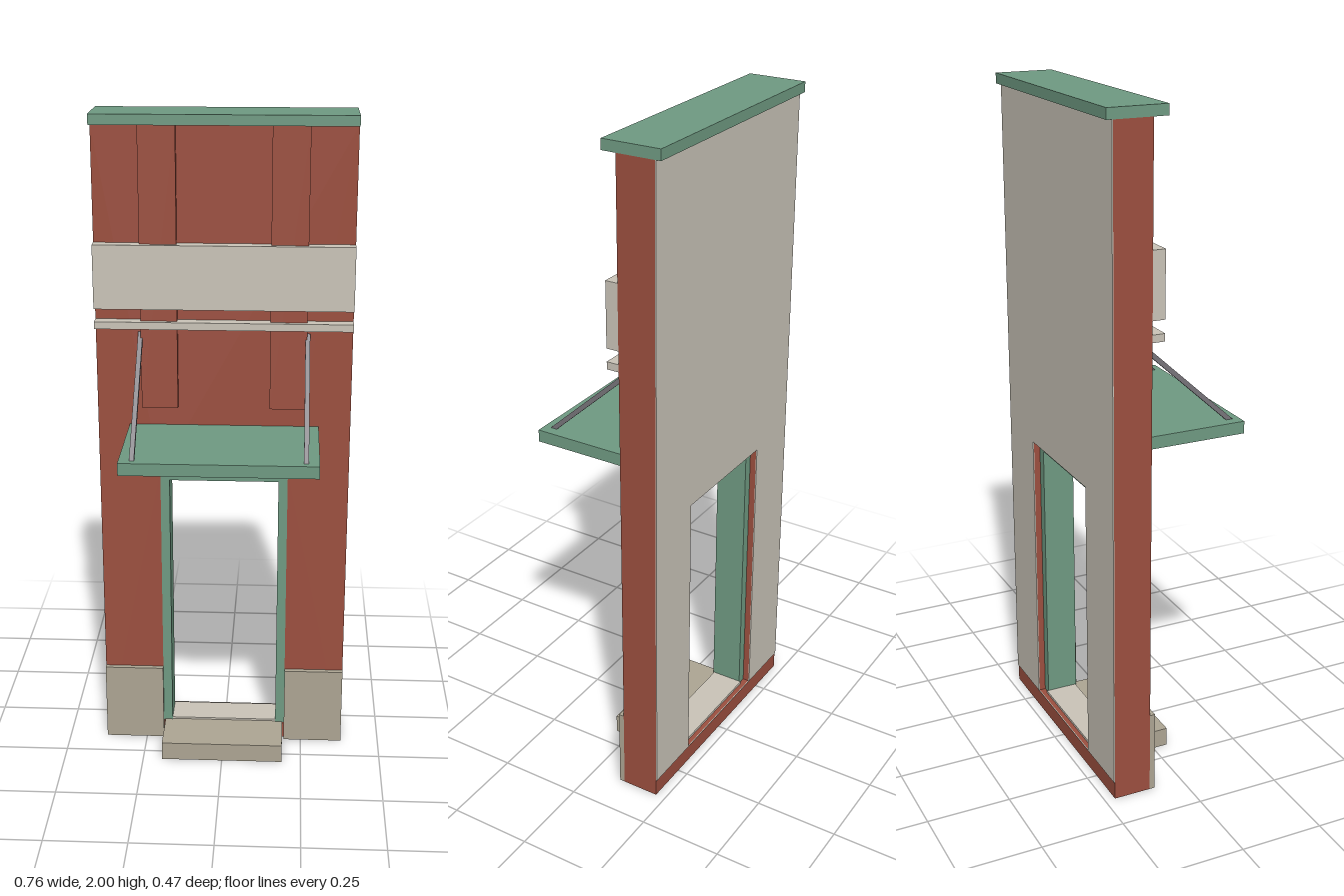
import * as THREE from 'three';

const material = (name, color) => {
  const m = new THREE.MeshStandardMaterial({ color });
  m.name = name;
  return m;
};

export function createModel() {
  const brick = material('red brick', 0x9c4f3f);
  const green = material('green paint', 0x6f9a82);
  const cream = material('cream plaster', 0xcac4b8);
  const stone = material('tan stone', 0xada593);
  const steel = material('grey steel', 0x77747a);

  const model = new THREE.Group();
  model.name = 'shopfrontWall';

  const add = (name, geometry, mat) => {
    const mesh = new THREE.Mesh(geometry, mat);
    mesh.name = name;
    model.add(mesh);
    return mesh;
  };

  // Box given by its lower and upper limits on each axis
  const block = (name, mat, [x0, x1], [y0, y1], [z0, z1]) => {
    const mesh = add(name, new THREE.BoxGeometry(x1 - x0, y1 - y0, z1 - z0), mat);
    mesh.position.set((x0 + x1) / 2, (y0 + y1) / 2, (z0 + z1) / 2);
    return mesh;
  };

  const rectangle = (shape, w, y0, y1) =>
    shape.moveTo(-w, y0).lineTo(w, y0).lineTo(w, y1).lineTo(-w, y1).closePath();

  // Upright slab with a rectangular opening
  const slab = (name, mat, outer, opening, z0, z1) => {
    const shape = rectangle(new THREE.Shape(), ...outer);
    shape.holes.push(rectangle(new THREE.Path(), ...opening));
    const geometry = new THREE.ExtrudeGeometry(shape, { depth: z1 - z0, bevelEnabled: false });
    add(name, geometry, mat).position.z = z0;
  };

  const doorway = [0.195, 0.056, 0.92];

  // Wall with its plastered inner face
  slab('brickWall', brick, [0.38, 0, 1.97], doorway, -0.219, -0.106);
  slab('innerPlaster', cream, [0.38, 0.055, 1.97], doorway, -0.222, -0.219);

  // Door frame, threshold and step
  slab('doorFrame', green, [0.195, 0.056, 0.92], [0.167, 0.0565, 0.895], -0.2, -0.103);
  block('threshold', cream, [-0.167, 0.167], [0.05, 0.064], [-0.205, -0.106]);
  block('doorStep', stone, [-0.19, 0.19], [0, 0.058], [-0.106, 0.047]);

  // Horizontal trim
  block('coping', green, [-0.38, 0.38], [1.97, 2], [-0.237, -0.063]);
  block('signBand', cream, [-0.38, 0.38], [1.44, 1.63], [-0.106, -0.069]);
  block('stringCourse', cream, [-0.38, 0.38], [1.38, 1.402], [-0.106, -0.069]);

  // Canopy
  block('canopy', green, [-0.285, 0.285], [1.038, 1.075], [-0.106, 0.236]);

  // Mirrored parts: plinths, pilasters and canopy stays
  const low = new THREE.Vector3(0, 1.07, 0.21);
  const high = new THREE.Vector3(0, 1.36, -0.106);
  for (const side of [-1, 1]) {
    const span = (a, b) => (side > 0 ? [a, b] : [-b, -a]);
    const label = side > 0 ? 'left' : 'right';
    block(label + 'Plinth', stone, span(0.195, 0.38), [0, 0.25], [-0.106, -0.09]);
    block(label + 'Pilaster', brick, span(0.137, 0.245), [1.135, 1.97], [-0.106, -0.085]);

    const stay = add(label + 'CanopyStay',
      new THREE.BoxGeometry(0.014, 0.014, low.distanceTo(high)), steel);
    stay.position.addVectors(low, high).multiplyScalar(0.5).setX(side * 0.247);
    stay.rotation.x = Math.atan2(high.y - low.y, low.z - high.z);
  }

  return model;
}
